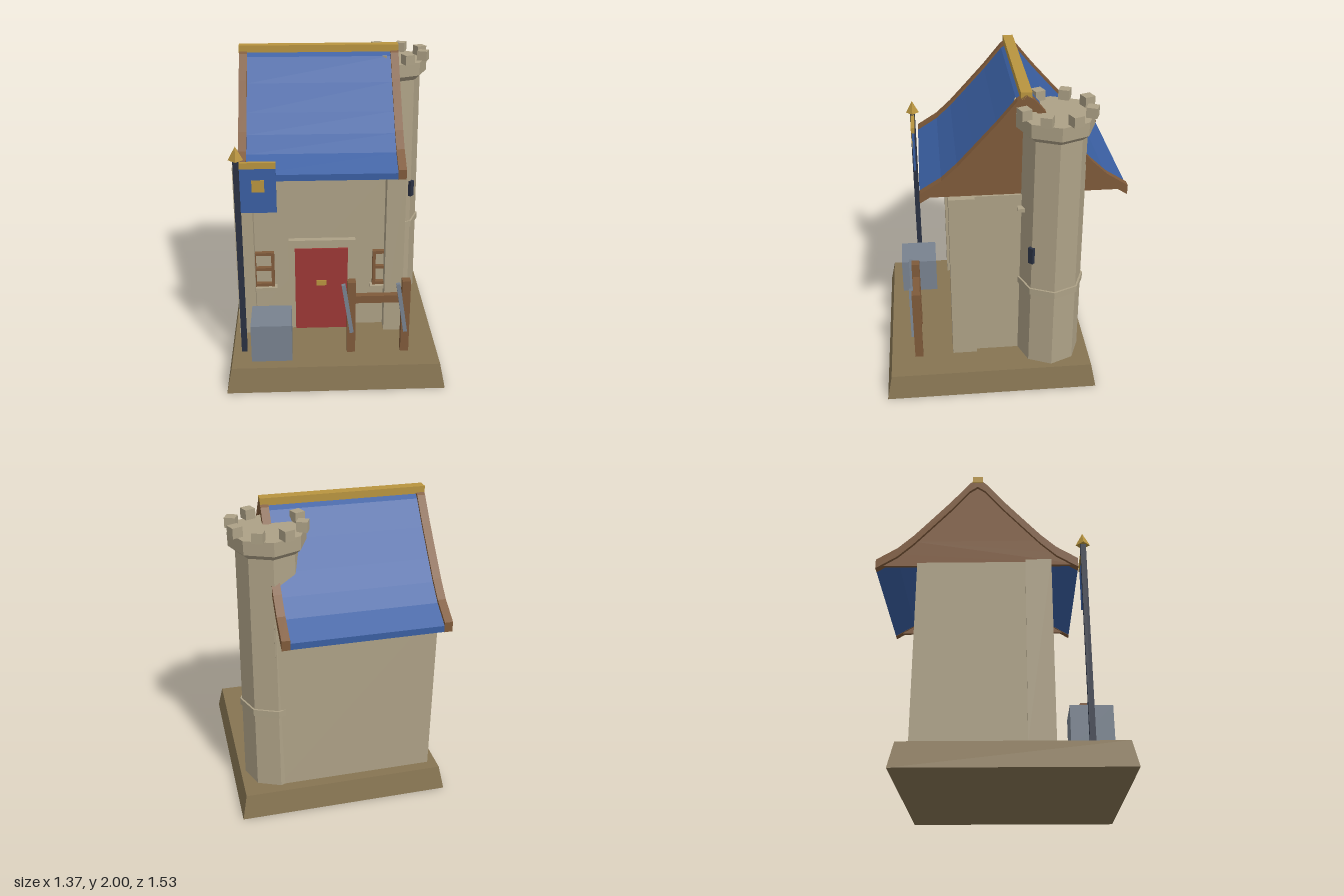
import * as THREE from 'three';

const material = (name, color) => {
  const m = new THREE.MeshStandardMaterial({ color });
  m.name = name;
  return m;
};

export function createModel() {
  const model = new THREE.Group();
  model.name = 'towerHouse';
  const stone = material('stone', 0xada186);
  const earth = material('earth', 0x867452);
  const blue = material('blue', 0x3a5fa2);
  const wood = material('wood', 0x7f5a3a);
  const gold = material('gold', 0xb8943f);
  const red = material('red', 0x9c3835);
  const iron = material('iron', 0x78828f);
  const navy = material('navy', 0x2a3142);

  const add = (name, geometry, mat, x = 0, y = 0, z = 0) => {
    const mesh = new THREE.Mesh(geometry, mat);
    mesh.name = name;
    mesh.position.set(x, y, z);
    model.add(mesh);
    return mesh;
  };
  // Box given by its limits on each axis
  const box = (name, mat, x0, x1, y0, y1, z0, z1) =>
    add(name, new THREE.BoxGeometry(x1 - x0, y1 - y0, z1 - z0), mat,
      (x0 + x1) / 2, (y0 + y1) / 2, (z0 + z1) / 2);
  // Faceted cylinder standing between two heights
  const prism = (name, mat, rTop, rBottom, y0, y1, x, z, sides) => {
    const g = new THREE.CylinderGeometry(rTop, rBottom, y1 - y0, sides).toNonIndexed();
    g.computeVertexNormals();
    return add(name, g, mat, x, (y0 + y1) / 2, z);
  };

  // Ground slab with sloping sides
  prism('base', earth, 0.653 * Math.SQRT2, 0.685 * Math.SQRT2, 0, 0.16, 0, 0.08, 4)
    .rotation.y = Math.PI / 4;

  // House walls and front corner piers
  box('walls', stone, -0.595, 0.425, 0.16, 1.34, -0.505, 0.23);
  box('rightPier', stone, -0.625, -0.51, 0.16, 1.34, 0.165, 0.325);
  box('leftPier', stone, 0.335, 0.455, 0.16, 1.34, 0.165, 0.325);
  box('wallStone', stone, 0.41, 0.47, 1.24, 1.265, -0.135, -0.095);

  // Door
  box('doorFrame', stone, -0.29, 0.145, 0.16, 0.81, 0.22, 0.27);
  box('door', red, -0.25, 0.095, 0.16, 0.755, 0.25, 0.28);
  box('doorPlate', gold, -0.11, -0.045, 0.49, 0.525, 0.28, 0.289);

  // Windows: two upright bars, three crossbars and a sill
  for (const cx of [-0.455, 0.33]) {
    for (const s of [-1, 1])
      box('windowBar', wood, cx + s * 0.06 - 0.01, cx + s * 0.06 + 0.01, 0.475, 0.72, 0.22, 0.265);
    for (const y of [0.485, 0.6, 0.71])
      box('windowCrossbar', wood, cx - 0.06, cx + 0.06, y - 0.01, y + 0.01, 0.22, 0.26);
    box('windowSill', stone, cx - 0.085, cx + 0.085, 0.455, 0.475, 0.22, 0.285);
  }

  // Roof: half profile as distance from the ridge and height
  const ridgeZ = -0.137;
  const half = [[0, 1.985], [0.05, 1.95], [0.165, 1.81], [0.3, 1.66], [0.4, 1.55], [0.497, 1.459], [0.63, 1.375]];
  const curve = (drop) => [
    ...half.slice(1).reverse().map(([d, y]) => new THREE.Vector2(ridgeZ - d, y - drop)),
    ...half.map(([d, y]) => new THREE.Vector2(ridgeZ + d, y - drop)),
  ];
  const extrudeAcross = (name, mat, points, x0, x1) => {
    const g = new THREE.ExtrudeGeometry(new THREE.Shape(points), { depth: x1 - x0, bevelEnabled: false });
    g.rotateY(-Math.PI / 2);
    return add(name, g, mat, x1);
  };
  const strip = (top, bottom) => [...curve(top), ...curve(bottom).reverse()];
  extrudeAcross('roof', blue, strip(0.02, 0.06), -0.53, 0.38);
  const gable = [...curve(0.032), new THREE.Vector2(ridgeZ + 0.63, 1.34), new THREE.Vector2(ridgeZ - 0.63, 1.34)];
  for (const [x0, x1, g0] of [[-0.58, -0.53, -0.56], [0.38, 0.43, 0.39]]) {
    extrudeAcross('gableBoard', wood, strip(0, 0.062), x0, x1);
    extrudeAcross('gable', wood, gable, g0, g0 + 0.02);
  }
  box('ridge', gold, -0.582, 0.43, 1.955, 2, ridgeZ - 0.033, ridgeZ + 0.033);

  // Eight-sided tower with a crown of merlons
  const tx = 0.416, tz = -0.312;
  prism('tower', stone, 0.19, 0.205, 0.16, 1.8, tx, tz, 8);
  prism('towerBand', stone, 0.212, 0.212, 0.695, 0.74, tx, tz, 8);
  prism('towerFlare', stone, 0.23, 0.19, 1.75, 1.785, tx, tz, 8);
  prism('towerCrown', stone, 0.232, 0.23, 1.785, 1.87, tx, tz, 8);
  for (let i = 0; i < 8; i++) {
    const a = (i + 0.5) * Math.PI / 4;
    add('merlon', new THREE.BoxGeometry(0.065, 0.062, 0.065), stone,
      tx + 0.21 * Math.sin(a), 1.9, tz + 0.21 * Math.cos(a)).rotation.y = a;
  }
  add('arrowSlit', new THREE.BoxGeometry(0.035, 0.11, 0.025), navy,
    tx + 0.141, 0.985, tz + 0.141).rotation.y = Math.PI / 4;

  // Banner on its pole
  box('pole', navy, -0.6, -0.565, 0.16, 1.47, 0.51, 0.545);
  prism('finial', gold, 0, 0.045, 1.465, 1.55, -0.582, 0.527, 4);
  box('bannerBar', gold, -0.57, -0.35, 1.412, 1.45, 0.515, 0.54);
  box('banner', blue, -0.565, -0.35, 1.13, 1.412, 0.521, 0.534);
  box('bannerPatch', gold, -0.495, -0.42, 1.265, 1.34, 0.534, 0.54);

  // Crate
  box('crate', iron, -0.53, -0.275, 0.16, 0.415, 0.41, 0.66);

  // Rack with two leaning blades
  for (const x of [0.075, 0.418])
    box('rackPost', wood, x, x + 0.053, 0.16, 0.665, 0.525, 0.578);
  box('rackBar', wood, 0.1, 0.45, 0.515, 0.565, 0.53, 0.572);
  for (const x of [0.077, 0.417])
    add('blade', new THREE.BoxGeometry(0.025, 0.345, 0.025), iron, x, 0.485, 0.583).rotation.z = 0.155;

  return model;
}
